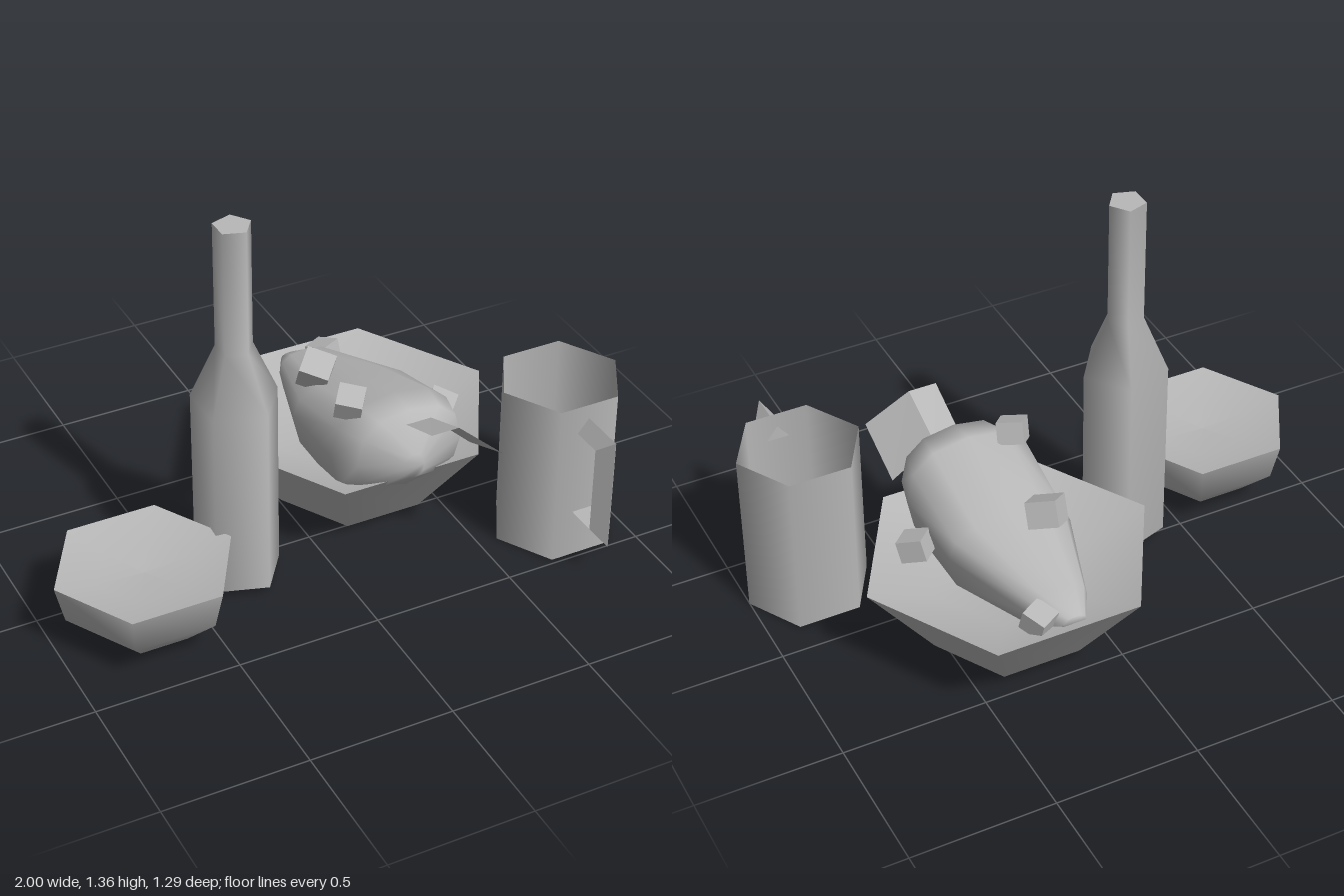
import * as THREE from 'three';

const grey = new THREE.MeshStandardMaterial({ color: 0xb8b8b8, side: THREE.DoubleSide });
grey.name = 'plain grey';

function part(name, geometry, x = 0, y = 0, z = 0) {
  const mesh = new THREE.Mesh(geometry, grey);
  mesh.name = name;
  mesh.position.set(x, y, z);
  return mesh;
}

// Few-sided turned shell with one corner pointing along +x
function turned(profile, sides) {
  return new THREE.LatheGeometry(profile.map(([r, y]) => new THREE.Vector2(r, y)), sides)
    .rotateY(Math.PI / 2);
}

function disc(radius, sides, y, faceDown = false) {
  return new THREE.CircleGeometry(radius, sides)
    .rotateX(faceDown ? Math.PI / 2 : -Math.PI / 2)
    .translate(0, y, 0);
}

function surface(points, index) {
  const g = new THREE.BufferGeometry();
  g.setAttribute('position', new THREE.Float32BufferAttribute(points.flat(), 3));
  g.setIndex(index);
  g.computeVertexNormals();
  return g;
}

// Skin over a row of closed cross-sections, with both ends capped
function loft(rings) {
  const n = rings[0].length, last = (rings.length - 1) * n, index = [];
  for (let i = 0; i < rings.length - 1; i++) {
    for (let j = 0; j < n; j++) {
      const a = i * n + j, b = i * n + (j + 1) % n;
      index.push(a, b, a + n, b, b + n, a + n);
    }
  }
  for (let j = 1; j < n - 1; j++) {
    index.push(0, j + 1, j, last, last + j, last + j + 1);
  }
  return surface(rings.flat(), index);
}

function flat(geometry) {
  const g = geometry.toNonIndexed();
  g.computeVertexNormals();
  return g;
}

function createBottle() {
  const g = new THREE.Group();
  g.name = 'bottle';
  g.add(
    part('bottleBody', turned([[0.15, 0.025], [0.15, 0.71], [0.064, 0.91], [0.064, 1.355]], 5)),
    part('bottleTop', disc(0.064, 5, 1.355)),
    part('bottleBase', disc(0.15, 5, 0.025, true)),
  );
  g.position.set(-0.3, 0, 0.072);
  return g;
}

function createMug() {
  const g = new THREE.Group();
  g.name = 'mug';
  // Three-sided handle: flat inner face, ridge on the outside
  const stations = [
    [0.187, 0.5, 0.187, 0.55], [0.295, 0.5, 0.35, 0.55],
    [0.295, 0.18, 0.35, 0.13], [0.187, 0.18, 0.187, 0.13],
  ];
  const rings = stations.map(([zi, yi, zo, yo]) => [[-0.04, yi, zi], [0.04, yi, zi], [0, yo, zo]]);
  // Floor folded up along its middle
  const floor = surface([
    [-0.108, 0.01, -0.187], [0.108, 0.01, -0.187], [-0.216, 0.15, 0],
    [0.216, 0.15, 0], [-0.108, 0.01, 0.187], [0.108, 0.01, 0.187],
  ], [0, 2, 1, 1, 2, 3, 2, 4, 3, 3, 4, 5]);
  g.add(
    part('mugWall', turned([[0.216, 0], [0.216, 0.603]], 6)),
    part('mugFloor', flat(floor)),
    part('mugHandle', flat(loft(rings))),
  );
  g.position.set(0.785, 0, 0.295);
  return g;
}

function createSmallBowl() {
  const g = new THREE.Group();
  g.name = 'smallBowl';
  g.add(
    part('smallBowlWall', turned([[0.165, 0.025], [0.278, 0.13], [0.31, 0.265]], 6)),
    part('smallBowlInside', turned([[0.001, 0.225], [0.17, 0.235], [0.31, 0.265]], 6)),
  );
  g.position.set(-0.69, 0, 0.19);
  return g;
}

function createLargeBowl() {
  const g = new THREE.Group();
  g.name = 'largeBowl';
  g.add(
    part('largeBowlWall', turned([[0.275, 0.025], [0.505, 0.33]], 6)),
    part('largeBowlInside', turned([[0.001, 0.23], [0.28, 0.25], [0.505, 0.33]], 6)),
  );
  g.position.set(0.268, 0, -0.205);
  return g;
}

function createRoast() {
  const g = new THREE.Group();
  g.name = 'roast';

  // Body sections: z, centre x, half width, widest height, top, bottom
  const sections = [
    [-0.6, 0.23, 0.04, 0.32, 0.34, 0.29],
    [-0.51, 0.245, 0.105, 0.33, 0.4, 0.23],
    [-0.2, 0.26, 0.22, 0.37, 0.475, 0.16],
    [0.1, 0.26, 0.23, 0.39, 0.583, 0.16],
    [0.2, 0.27, 0.195, 0.4, 0.57, 0.275],
    [0.27, 0.25, 0.04, 0.39, 0.44, 0.345],
  ];
  const sides = 12;
  const bulge = v => Math.sign(v) * Math.abs(v) ** 0.82;
  const rings = sections.map(([z, cx, w, yc, top, bottom]) =>
    Array.from({ length: sides }, (_, j) => {
      const a = j / sides * Math.PI * 2, s = bulge(Math.sin(a));
      return [cx + w * bulge(Math.cos(a)), yc + s * (s > 0 ? top - yc : yc - bottom), z];
    }));
  g.add(part('roastBody', loft(rings)));

  // Bent leaf sticking out at the front
  const leaf = surface([
    [0.245, 0.53, 0.22], [0.34, 0.52, 0.2], [0.485, 0.39, 0.23],
    [0.24, 0.6, 0.4], [0.34, 0.6, 0.4], [0.485, 0.48, 0.445],
  ], [0, 3, 1, 1, 3, 4, 1, 4, 2, 2, 4, 5]);
  g.add(part('leaf', flat(leaf)));

  // Diced chunks: position, size, tilt
  const chunks = [
    [0.155, 0.49, -0.255, 0.105, 0.4, 0.85, 0.1],
    [0.11, 0.575, 0.08, 0.09, 0.25, 0.95, 0.15],
    [0.535, 0.345, -0.06, 0.09, 0.45, 0.8, -0.2],
    [0.335, 0.335, -0.555, 0.085, -0.3, 0.5, 0.1],
  ];
  for (const [x, y, z, s, rx, ry, rz] of chunks) {
    const chunk = part('chunk', new THREE.BoxGeometry(s, s * 0.85, s), x, y, z);
    chunk.rotation.set(rx, ry, rz);
    g.add(chunk);
  }
  return g;
}

export function createModel() {
  const model = new THREE.Group();
  model.name = 'tableSetting';
  model.add(createSmallBowl(), createBottle(), createLargeBowl(), createRoast(), createMug());
  return model;
}
